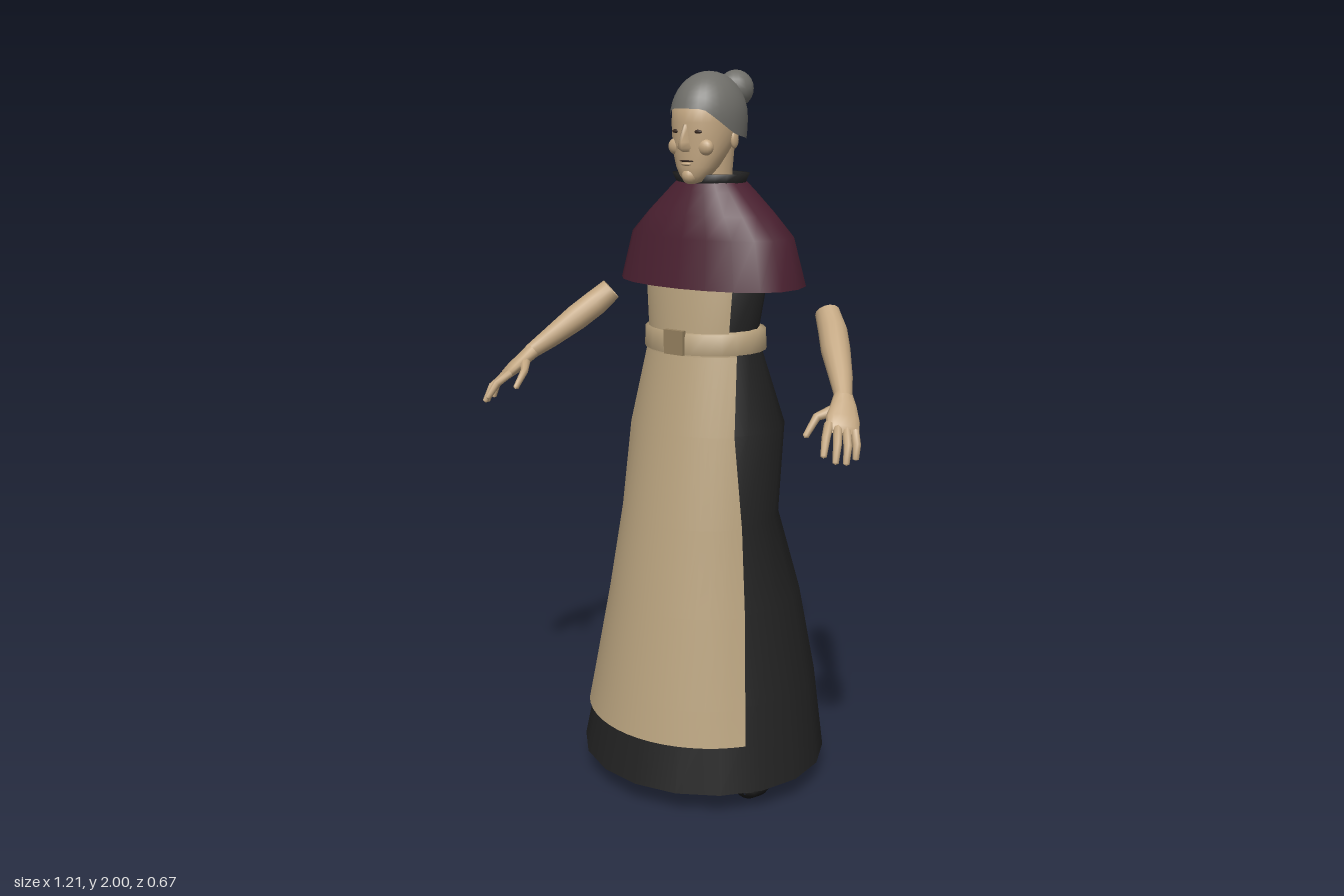
import * as THREE from 'three';

const mat = (name, color, side = THREE.FrontSide) => {
  const m = new THREE.MeshStandardMaterial({ color, side });
  m.name = name;
  return m;
};

// Surface from rows of points; closed joins each row into a ring
function grid(rows, closed) {
  const n = rows[0].length, idx = [];
  const at = (r, c) => r * n + (c % n);
  for (let r = 0; r < rows.length - 1; r++)
    for (let c = 0; c < (closed ? n : n - 1); c++)
      idx.push(at(r, c), at(r, c + 1), at(r + 1, c + 1), at(r, c), at(r + 1, c + 1), at(r + 1, c));
  const g = new THREE.BufferGeometry();
  g.setAttribute('position', new THREE.Float32BufferAttribute(rows.flat(2), 3));
  g.setIndex(idx);
  g.computeVertexNormals();
  return g;
}

// Point on an oval section [y, halfWidth, frontZ, backZ, midZ], angle 0 faces front
function onOval([y, rx, zf, zb, mid = (zf + zb) / 2], a, power = 1) {
  const c = Math.cos(a);
  return [rx * Math.sin(a), y, c > 0 ? mid + (zf - mid) * c ** power : mid + (mid - zb) * c];
}
const loft = (sections, sides, power) => grid(sections.map(s =>
  Array.from({ length: sides }, (_, i) => onOval(s, i / sides * Math.PI * 2, power))), true);

// Limb through [x, y, z, halfWidth, halfThickness], widened along axis w
function limb(points, w = [0.3, 0.9, 0.3], sides = 10) {
  const p = points.map(q => new THREE.Vector3(...q));
  const rows = points.map((q, i) => {
    const t = p[Math.min(i + 1, p.length - 1)].clone().sub(p[Math.max(i - 1, 0)]).normalize();
    const b = new THREE.Vector3().crossVectors(t, new THREE.Vector3(...w)).normalize();
    const a = new THREE.Vector3().crossVectors(b, t);
    return Array.from({ length: sides }, (_, k) => {
      const th = k / sides * Math.PI * 2;
      return p[i].clone().addScaledVector(a, q[3] * Math.cos(th))
        .addScaledVector(b, (q[4] ?? q[3]) * Math.sin(th)).toArray();
    });
  });
  return grid(rows, true);
}

export function createModel() {
  const root = new THREE.Group();
  const black = mat('black cloth', 0x222222, THREE.DoubleSide);
  const linen = mat('linen', 0xb8a27e, THREE.DoubleSide);
  const wine = mat('wine wool', 0x4a2030, THREE.DoubleSide);
  const skin = mat('skin', 0xc2a681, THREE.DoubleSide);
  const grey = mat('grey hair', 0x6f6e69);
  const dark = mat('dark leather', 0x161616);
  const brown = mat('face shadow', 0x3a2b22);
  const buckleMat = mat('buckle', 0x94805f);
  const add = (name, geo, m, parent = root) => {
    const mesh = new THREE.Mesh(geo, m);
    mesh.name = name;
    parent.add(mesh);
    return mesh;
  };

  // Dress
  const skirt = [
    [0.075, 0.36, 0.335, -0.335], [0.31, 0.316, 0.295, -0.33], [0.56, 0.268, 0.25, -0.285],
    [0.8, 0.222, 0.207, -0.195], [1.05, 0.22, 0.162, -0.22], [1.26, 0.16, 0.122, -0.152]];
  const bodice = [
    [1.26, 0.16, 0.122, -0.152], [1.32, 0.155, 0.115, -0.14], [1.44, 0.172, 0.108, -0.155],
    [1.6, 0.13, 0.07, -0.15], [1.7, 0.08, 0.02, -0.11]];
  add('skirt', loft(skirt, 18), black);
  add('bodice', loft(bodice, 18), black);

  // Apron panels lie just outside the dress
  const profile = [...skirt, ...bodice.slice(1)];
  const section = y => {
    const i = Math.max(1, profile.findIndex(s => s[0] >= y));
    const a = profile[i - 1], b = profile[i], t = (y - a[0]) / (b[0] - a[0]);
    return a.map((v, k) => v + (b[k] - v) * t);
  };
  const panel = edges => grid(edges.map(([y, w]) => {
    const s = section(y), o = [y, s[1] + 0.012, s[2] + 0.01, s[3] - 0.01];
    const m = Math.asin(Math.min(1, w / o[1]));
    return Array.from({ length: 17 }, (_, i) => onOval(o, m * (i / 8 - 1)));
  }), false);
  add('apron', panel([[0.21, 0.273], [0.31, 0.261], [0.56, 0.232], [0.8, 0.203], [1.05, 0.173], [1.26, 0.149]]), linen);
  add('apronBib', panel([[1.26, 0.149], [1.32, 0.132], [1.44, 0.14], [1.5, 0.13]]), linen);

  // Belt and buckle
  add('belt', loft([[1.265, 0.16, 0.125, -0.145], [1.265, 0.177, 0.138, -0.16],
    [1.32, 0.174, 0.136, -0.157], [1.325, 0.15, 0.115, -0.135]], 24), linen);
  add('buckle', new THREE.BoxGeometry(0.062, 0.066, 0.014), buckleMat).position.set(0, 1.297, 0.136);

  // Shoulder cape and collar
  add('cape', loft([[1.44, 0.277, 0.125, -0.248, -0.04], [1.57, 0.242, 0.102, -0.212, -0.04],
    [1.63, 0.185, 0.083, -0.18, -0.04], [1.69, 0.122, 0.058, -0.145, -0.04],
    [1.715, 0.095, 0.045, -0.125, -0.04]], 20, 0.85), wine);
  add('collar', loft([[1.68, 0.095, 0.042, -0.122], [1.715, 0.1, 0.048, -0.125], [1.735, 0.111, 0.055, -0.13],
    [1.735, 0.095, 0.04, -0.115], [1.69, 0.06, 0.015, -0.09]], 20), black);

  // Head and neck
  const head = new THREE.Group();
  head.name = 'head';
  root.add(head);
  add('neck', loft([[1.68, 0.06, 0.02, -0.1], [1.74, 0.056, 0.02, -0.1], [1.85, 0.06, 0.02, -0.115]], 16), skin, head);
  add('face', loft([[1.71, 0.004, 0.05, 0.04], [1.716, 0.026, 0.068, 0.015], [1.732, 0.042, 0.077, -0.005],
    [1.755, 0.058, 0.08, -0.03], [1.79, 0.073, 0.082, -0.06], [1.83, 0.083, 0.084, -0.1],
    [1.87, 0.088, 0.085, -0.12], [1.91, 0.086, 0.083, -0.125], [1.95, 0.06, 0.05, -0.09]], 24, 0.9), skin, head);
  add('nose', grid([[1.795, 0.016, 0.088], [1.805, 0.018, 0.11], [1.82, 0.013, 0.108], [1.865, 0.008, 0.088]]
    .map(([y, w, z]) => [[-w, y, 0.075], [-w * 0.35, y, z], [w * 0.35, y, z], [w, y, 0.075]]), false), skin, head);
  const ball = (name, m, r, pos, scale = [1, 1, 1]) => {
    const b = add(name, new THREE.SphereGeometry(r, 16, 12), m, head);
    b.position.set(...pos);
    b.scale.set(...scale);
  };
  for (const s of [-1, 1]) {
    ball('ear', skin, 0.022, [s * 0.083, 1.825, -0.025], [0.4, 1.1, 0.7]);
    ball('eye', brown, 0.013, [s * 0.034, 1.847, 0.0755], [1, 0.4, 0.4]);
    ball('cheek', skin, 0.025, [s * 0.045, 1.807, 0.058], [1, 0.9, 0.7]);
  }
  ball('mouth', brown, 0.022, [0, 1.771, 0.078], [1, 0.14, 0.25]);
  ball('lowerLip', skin, 0.016, [0, 1.763, 0.078], [1, 0.3, 0.5]);
  ball('chin', skin, 0.022, [0, 1.732, 0.062]);

  // Hair cap: the hairline drops from forehead to nape
  const hairRows = Array.from({ length: 11 }, (_, r) => Array.from({ length: 32 }, (_, i) => {
    const a = i / 32 * Math.PI * 2, f = Math.cos(a);
    const low = f > 0 ? 1.835 + 0.07 * Math.min(1, f * 1.15) ** 1.5 : 1.835 - 0.02 * -f;
    const h = low + (2 - low) * Math.sin(r / 10 * Math.PI / 2), t = (h - 1.88) / 0.12;
    const k = t > 0 ? Math.sqrt(Math.max(0, 1 - t * t)) : 1 - 0.15 * t * t;
    return [0.097 * k * Math.sin(a), h, -0.028 + 0.118 * k * f];
  }));
  add('hair', grid(hairRows, true), grey, head);
  ball('hairBun', grey, 0.05, [0, 1.953, -0.157]);

  // Arms, hands and shoes
  for (const s of [-1, 1]) {
    const arm = new THREE.Group();
    arm.name = s > 0 ? 'leftArm' : 'rightArm';
    root.add(arm);
    const flip = pts => pts.map(([x, ...rest]) => [x * s, ...rest]);
    add('forearm', limb(flip([[0.36, 1.385, -0.052, 0.033], [0.395, 1.345, -0.02, 0.038],
      [0.43, 1.305, 0.025, 0.038], [0.48, 1.25, 0.085, 0.03], [0.517, 1.21, 0.135, 0.022]]), [0.3 * s, 0.9, 0.3], 14), skin, arm);
    const across = [-0.75 * s, 0.2, 0.5];
    add('palm', limb(flip([[0.51, 1.217, 0.127, 0.024, 0.022], [0.525, 1.195, 0.15, 0.034, 0.02],
      [0.54, 1.17, 0.18, 0.043, 0.019], [0.552, 1.152, 0.2, 0.042, 0.015], [0.558, 1.142, 0.21, 0.03, 0.004]]), across, 14), skin, arm);
    const fingers = [
      ['indexFinger', [0.522, 1.163, 0.218], [0.537, 1.137, 0.258], [0.547, 1.1, 0.285]],
      ['middleFinger', [0.541, 1.157, 0.208], [0.564, 1.125, 0.248], [0.572, 1.084, 0.27]],
      ['ringFinger', [0.559, 1.15, 0.196], [0.582, 1.118, 0.228], [0.588, 1.078, 0.245]],
      ['littleFinger', [0.575, 1.146, 0.183], [0.591, 1.117, 0.2], [0.595, 1.083, 0.21]],
      ['thumb', [0.515, 1.19, 0.16], [0.479, 1.172, 0.203], [0.474, 1.132, 0.247]]];
    for (const [name, a, b, c] of fingers) {
      const tip = c.map((v, i) => v + (c[i] - b[i]) * 0.08);
      add(name, limb(flip([[...a, name === 'thumb' ? 0.017 : 0.012], [...b, 0.011], [...c, 0.008], [...tip, 0.001]]), across, 8), skin, arm);
    }
    const shoe = limb([[0.2, 0.045, -0.122, 0.004], [0.204, 0.045, -0.11, 0.035, 0.04], [0.212, 0.05, -0.04, 0.04, 0.045],
      [0.222, 0.042, 0.04, 0.052, 0.036], [0.232, 0.036, 0.105, 0.05, 0.03], [0.236, 0.03, 0.135, 0.028, 0.02],
      [0.237, 0.028, 0.14, 0.003]].map(([x, ...r]) => [x * s, ...r]), [1, 0, 0], 16);
    const p = shoe.attributes.position;
    for (let i = 0; i < p.count; i++) p.setY(i, Math.max(0, p.getY(i)));
    shoe.computeVertexNormals();
    add(s > 0 ? 'leftShoe' : 'rightShoe', shoe, dark);
  }
  return root;
}
